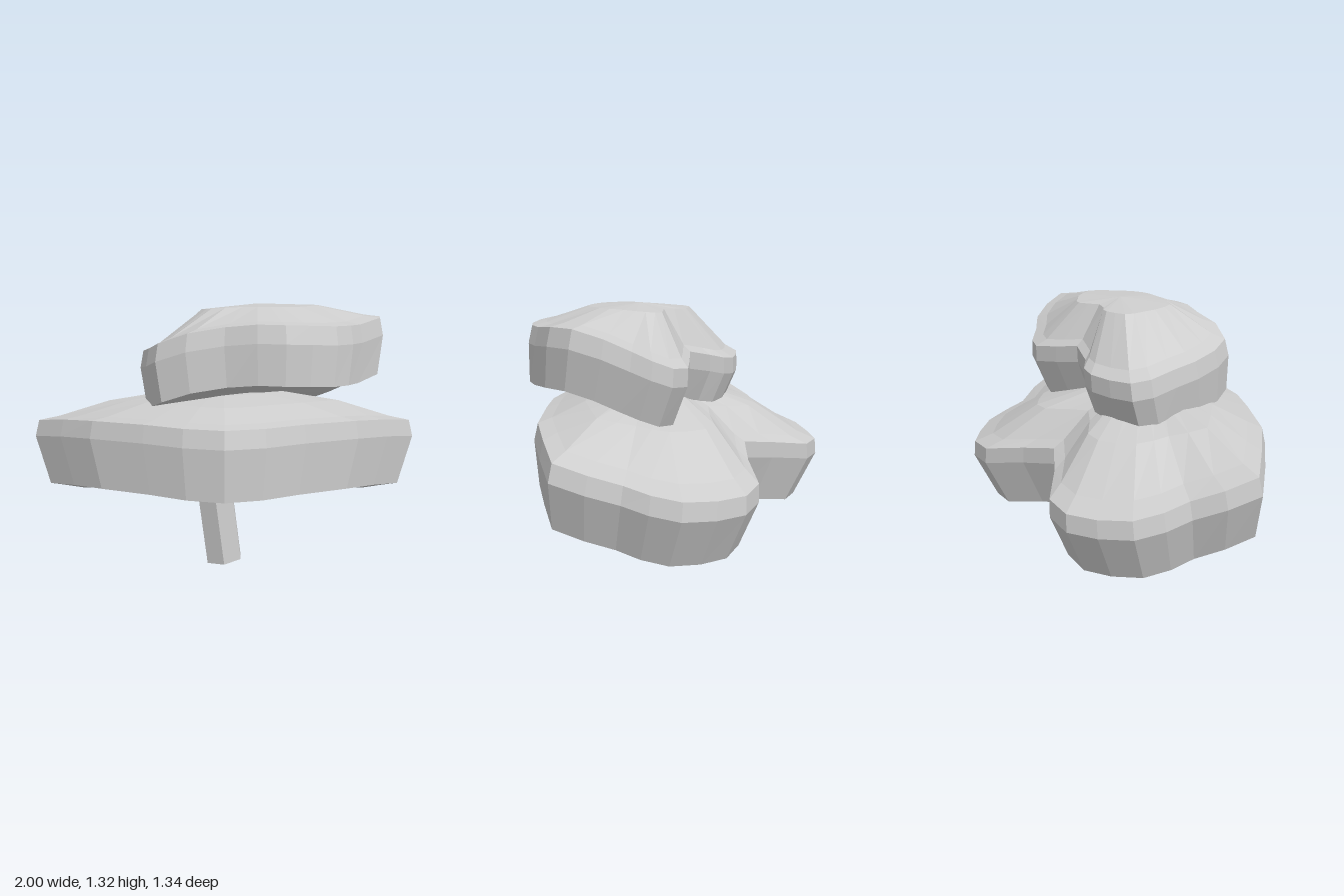
import * as THREE from 'three';

// Closed flat-shaded body made of rings that follow one outline [x, z, rimHeight]
function makeTier(name, outline, opt, material) {
  const [cx, peakY, cz] = opt.peak;
  const rings = [
    outline.map(() => opt.under),                                             // underside centre
    outline.map(([x, z, y]) => [x * opt.foot[0] + opt.foot[1], y - opt.thick, z * 0.92 + 0.052]),
    outline.map(([x, z, y]) => [x, y - 0.085, z]),                            // widest ring
    ...opt.dome.map(([s, k]) => outline.map(([x, z, y]) => [                  // rim up to the peak
      cx + (x - cx) * s, y + (peakY - y) * k, cz + (z - cz) * s - 0.01 * s,
    ])),
  ];
  const n = outline.length;
  const pos = [];
  for (let r = 0; r < rings.length - 1; r++) {
    for (let i = 0; i < n; i++) {
      const j = (i + 1) % n;
      const a = rings[r][i], b = rings[r][j], c = rings[r + 1][j], d = rings[r + 1][i];
      if (r > 0) pos.push(...a, ...b, ...c);
      if (r === 0 || r < rings.length - 2) pos.push(...a, ...c, ...d);
    }
  }
  const geo = new THREE.BufferGeometry();
  geo.setAttribute('position', new THREE.Float32BufferAttribute(pos, 3));
  geo.computeVertexNormals();
  const mesh = new THREE.Mesh(geo, material);
  mesh.name = name;
  return mesh;
}

export function createModel() {
  const group = new THREE.Group();
  group.name = 'tieredTree';
  const grey = new THREE.MeshStandardMaterial({ color: 0xcccccc, flatShading: true });
  grey.name = 'pale grey';

  // Lower foliage: mirrored heart-like outline, from the front tip round to the back notch
  const half = [
    [0, 0.667, 0.785], [0.19, 0.62, 0.785], [0.38, 0.525, 0.785], [0.65, 0.38, 0.775],
    [0.83, 0.215, 0.75], [1, 0.045, 0.715], [0.945, -0.1, 0.665], [0.86, -0.225, 0.615],
    [0.84, -0.35, 0.585], [0.79, -0.48, 0.56], [0.67, -0.59, 0.545], [0.54, -0.672, 0.542],
    [0.38, -0.672, 0.55], [0.18, -0.54, 0.592], [0, -0.45, 0.628],
  ];
  const lowerOutline = [...half, ...half.slice(1, -1).reverse().map(([x, z, y]) => [-x, z, y])];
  group.add(makeTier('lowerFoliage', lowerOutline, {
    peak: [0, 0.885, 0.08], under: [0, 0.365, 0.1], foot: [0.92, 0], thick: 0.33,
    dome: [[0.98, 0], [0.87, 0.14], [0.6, 0.64], [0.3, 0.94], [0, 1]],
  }, grey));

  // Upper foliage: smaller, turned and tilted down to the right and back
  const upperOutline = [
    [0.15, 0.515, 1.245], [0.28, 0.535, 1.243], [0.4, 0.525, 1.24], [0.52, 0.485, 1.235],
    [0.6, 0.425, 1.235], [0.66, 0.345, 1.235], [0.79, 0.18, 1.258], [0.818, 0.045, 1.258],
    [0.76, -0.08, 1.215], [0.69, -0.18, 1.16], [0.6, -0.235, 1.11], [0.52, -0.3, 1.07],
    [0.42, -0.325, 1.06], [0.29, -0.27, 1.075], [0.16, -0.21, 1.095], [0.0, -0.25, 1.06],
    [-0.07, -0.3, 1.04], [-0.16, -0.312, 1.03], [-0.28, -0.28, 1.025], [-0.4, -0.235, 1.03],
    [-0.442, -0.145, 1.045], [-0.43, 0, 1.07], [-0.425, 0.13, 1.09], [-0.38, 0.29, 1.115],
    [-0.325, 0.4, 1.15], [-0.18, 0.455, 1.2], [0, 0.47, 1.23],
  ];
  group.add(makeTier('upperFoliage', upperOutline, {
    peak: [0.17, 1.325, 0.06], under: [0.17, 0.87, 0.1], foot: [0.95, 0.012], thick: 0.275,
    dome: [[0.975, 0], [0.85, 0.14], [0.47, 0.88], [0, 1]],
  }, grey));

  // Leaning six-sided trunk
  const trunk = new THREE.Mesh(new THREE.CylinderGeometry(0.1, 0.1, 0.5, 6), grey);
  trunk.name = 'trunk';
  trunk.rotation.z = 0.125;
  trunk.position.set(-0.031, 0.26, 0.21);
  group.add(trunk);

  return group;
}
